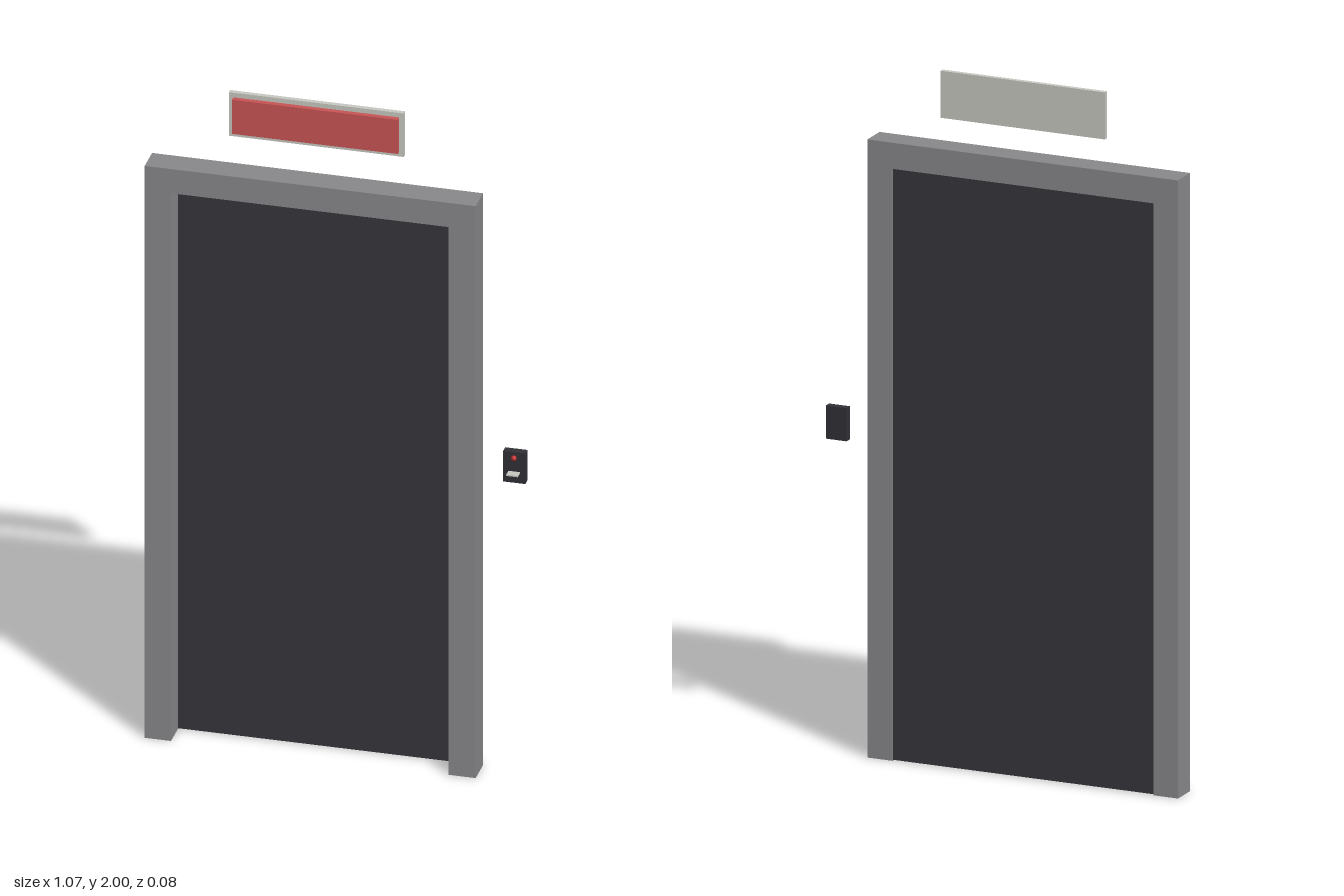
import * as THREE from 'three';

const material = (name, color) => {
  const m = new THREE.MeshStandardMaterial({ color });
  m.name = name;
  return m;
};

export function createModel() {
  const grey = material('frame grey', 0x88888b);
  const dark = material('door charcoal', 0x36353b);
  const pale = material('pale grey', 0xc8c8c2);
  const red = material('sign red', 0xc85454);
  const black = material('reader black', 0x313136);
  const ledRed = material('indicator red', 0xc03030);

  const group = new THREE.Group();
  group.name = 'doorway';
  const add = (name, geometry, mat, parent = group) => {
    const mesh = new THREE.Mesh(geometry, mat);
    mesh.name = name;
    parent.add(mesh);
    return mesh;
  };
  // Box given by its lower and upper corners
  const box = (name, [x0, y0, z0], [x1, y1, z1], mat, parent) => {
    const mesh = add(name, new THREE.BoxGeometry(x1 - x0, y1 - y0, z1 - z0), mat, parent);
    mesh.position.set((x0 + x1) / 2, (y0 + y1) / 2, (z0 + z1) / 2);
    return mesh;
  };

  // Door frame: one inverted-U outline with the thickness of the wall
  const outline = [
    [-0.535, 0], [-0.46, 0], [-0.46, 1.7], [0.33, 1.7],
    [0.33, 0], [0.407, 0], [0.407, 1.775], [-0.535, 1.775],
  ].map(([x, y]) => new THREE.Vector2(x, y));
  const frame = add('doorFrame', new THREE.ExtrudeGeometry(new THREE.Shape(outline),
    { depth: 0.08, bevelEnabled: false }), grey);
  frame.position.z = -0.04;

  // Thin door leaf, flush with the back of the frame
  box('doorLeaf', [-0.46, 0.003, -0.0395], [0.33, 1.7, -0.033], dark);

  // Sign above the door
  const sign = new THREE.Group();
  sign.name = 'sign';
  group.add(sign);
  box('signBackplate', [-0.313, 1.865, -0.04], [0.185, 2, -0.026], pale, sign);
  box('signPanel', [-0.3, 1.88, -0.026], [0.172, 1.986, -0.011], red, sign);

  // Wall-mounted card reader beside the door
  const reader = new THREE.Group();
  reader.name = 'cardReader';
  group.add(reader);
  box('readerBody', [0.47, 0.9, -0.04], [0.533, 0.995, -0.018], black, reader);
  box('readerCard', [0.485, 0.931, -0.02], [0.518, 0.935, 0.006], pale, reader);
  const led = add('indicatorLight', new THREE.SphereGeometry(0.008, 16, 12), ledRed, reader);
  led.position.set(0.501, 0.977, -0.016);

  return group;
}
